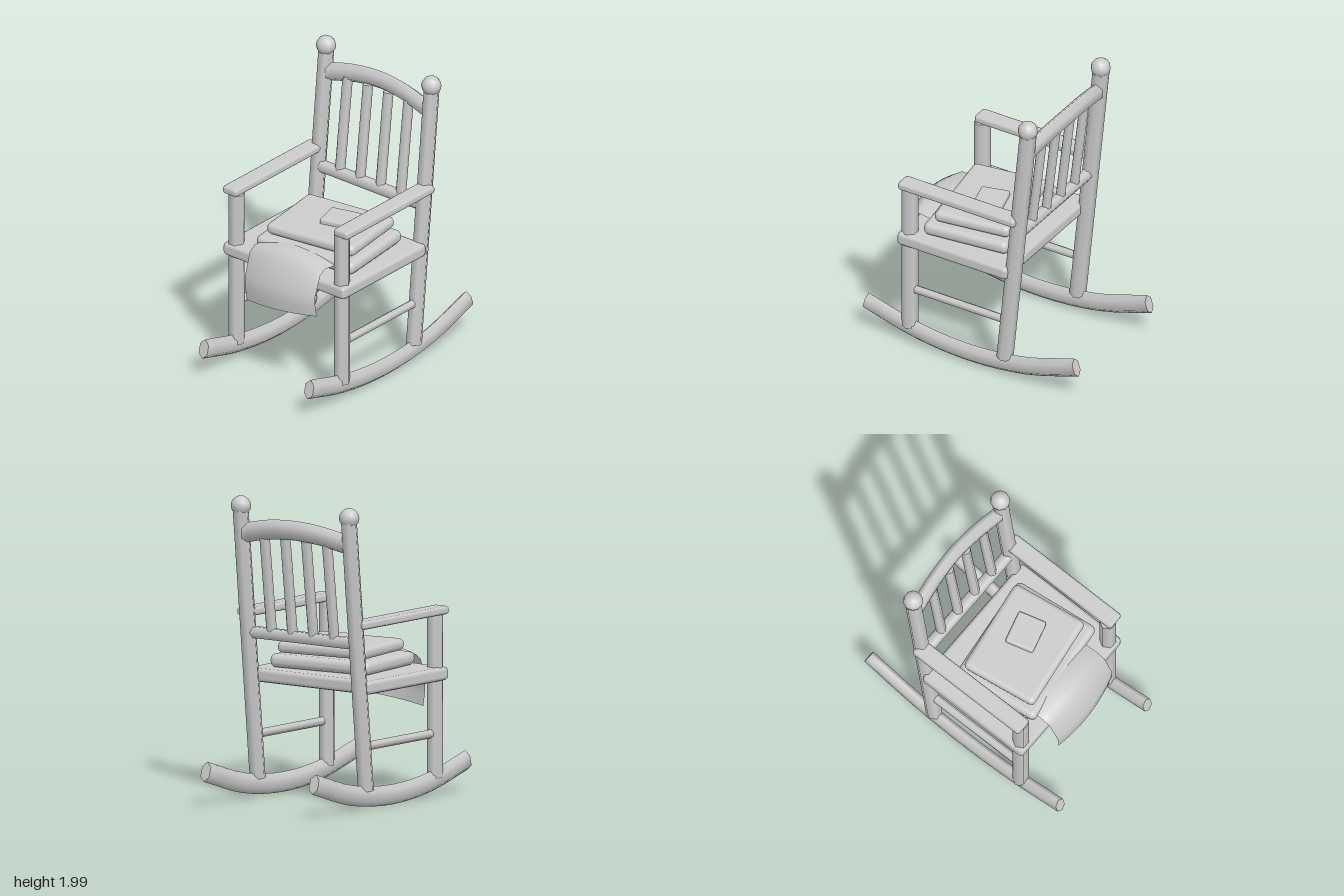
import * as THREE from 'three';
import { RoundedBoxGeometry } from 'three/addons/geometries/RoundedBoxGeometry.js';

const V = (x, y, z) => new THREE.Vector3(x, y, z);
const grey = new THREE.MeshStandardMaterial({ color: 0xcccccc });
const clothGrey = new THREE.MeshStandardMaterial({ color: 0xcccccc, side: THREE.DoubleSide });

// Smooth-shaded surface from a grid of cross-sections, all with equal point counts
function loft(rows, capped) {
  const n = rows[0].length, pos = [], idx = [];
  rows.forEach((row) => row.forEach((p) => pos.push(p.x, p.y, p.z)));
  for (let i = 0; i < rows.length - 1; i++) {
    for (let j = 0; j < (capped ? n : n - 1); j++) {
      const k = (j + 1) % n, a = i * n + j, b = i * n + k, c = a + n, d = b + n;
      idx.push(a, b, c, b, d, c);
    }
  }
  // End caps use their own corners so the rim stays sharp
  if (capped) {
    [rows[0], rows[rows.length - 1]].forEach((row, end) => {
      const base = pos.length / 3;
      row.forEach((p) => pos.push(p.x, p.y, p.z));
      for (let j = 1; j < n - 1; j++) {
        if (end) idx.push(base, base + j, base + j + 1);
        else idx.push(base, base + j + 1, base + j);
      }
    });
  }
  const geo = new THREE.BufferGeometry();
  geo.setAttribute('position', new THREE.Float32BufferAttribute(pos, 3));
  geo.setIndex(idx);
  geo.computeVertexNormals();
  return geo;
}

// Six-sided bar along a curve, sized separately across (side) and upward
function sweep(points, side, across, upward, steps = 16) {
  const curve = new THREE.CatmullRomCurve3(points);
  const rows = [];
  for (let i = 0; i <= steps; i++) {
    const p = curve.getPoint(i / steps), t = curve.getTangent(i / steps);
    const up = t.clone().cross(side).normalize();
    const s = up.clone().cross(t).normalize();
    const row = [];
    for (let j = 0; j < 6; j++) {
      const a = (j * Math.PI) / 3;
      row.push(p.clone().addScaledVector(s, Math.sin(a) * across).addScaledVector(up, Math.cos(a) * upward));
    }
    rows.push(row.reverse());
  }
  return loft(rows, true);
}

export function createModel() {
  const chair = new THREE.Group();
  chair.name = 'rockingChair';

  const add = (name, geo, mat = grey) => {
    const mesh = new THREE.Mesh(geo, mat);
    mesh.name = name;
    chair.add(mesh);
    return mesh;
  };
  // Hexagonal rod between two points
  const rod = (name, a, b, r, turn = 0) => {
    const dir = b.clone().sub(a);
    const mesh = add(name, new THREE.CylinderGeometry(r, r, dir.length(), 6).rotateY(turn));
    mesh.position.copy(a).add(b).multiplyScalar(0.5);
    mesh.quaternion.setFromUnitVectors(V(0, 1, 0), dir.normalize());
    return mesh;
  };
  const slab = (name, size, at, radius, turn = 0, segments = 2) => {
    const mesh = add(name, new RoundedBoxGeometry(...size, segments, radius));
    mesh.position.set(...at);
    mesh.rotation.y = turn;
    return mesh;
  };

  // Both sides: rocker, legs, post, knob, armrest, stretcher
  for (const [label, s] of [['left', 1], ['right', -1]]) {
    const x = 0.445 * s;
    add(`${label}Rocker`, sweep(
      [V(x, 0.205, 0.8), V(x, 0.108, 0.42), V(x, 0.073, 0.02), V(x, 0.115, -0.4), V(x, 0.235, -0.8)],
      V(1, 0, 0), 0.041, 0.066));
    rod(`${label}FrontLeg`, V(x, 0.13, 0.47), V(x, 1.21, 0.47), 0.055, Math.PI / 6);
    rod(`${label}BackPost`, V(x, 0.13, -0.255), V(x, 1.91, -0.433), 0.055, Math.PI / 6);
    add(`${label}Knob`, new THREE.SphereGeometry(0.066, 10, 8)).position.set(x, 1.934, -0.43);
    slab(`${label}Armrest`, [0.12, 0.055, 0.89], [0.47 * s, 1.228, 0.073], 0.02, 0, 1);
    rod(`${label}Stretcher`, V(x, 0.42, 0.45), V(x, 0.42, -0.27), 0.029);
  }

  // Seat
  slab('seat', [1.03, 0.09, 0.84], [0, 0.81, 0.115], 0.028, 0, 1);

  // Backrest
  add('crestRail', sweep(
    [V(-0.42, 1.757, -0.42), V(-0.21, 1.8, -0.445), V(0, 1.815, -0.457), V(0.21, 1.8, -0.445), V(0.42, 1.757, -0.42)],
    V(0, 0, 1), 0.046, 0.064));
  rod('lowerBackRail', V(-0.43, 1.1, -0.345), V(0.43, 1.1, -0.345), 0.042);
  for (const x of [-0.257, -0.086, 0.086, 0.257]) {
    rod('backSpindle', V(x, 1.1, -0.345), V(x, 1.77, -0.425), 0.034);
  }

  // Stacked cushions with a small pad on top
  slab('lowerCushion', [0.755, 0.09, 0.605], [0.04, 0.9, 0.118], 0.04, 0.115);
  slab('upperCushion', [0.665, 0.08, 0.53], [0.04, 0.992, 0.102], 0.036, 0.145);
  slab('smallPad', [0.225, 0.05, 0.195], [0.1, 1.042, 0.066], 0.016, 0.265);

  // Cloth draped over the front edge, bulging outward along its middle
  const rows = [
    // left x, right x, edge y, middle rise, edge z, middle push, tilt
    [-0.26, 0.32, 0.905, 0.045, 0.4, 0, 0],
    [-0.26, 0.32, 0.915, 0.04, 0.5, 0.02, 0.003],
    [-0.258, 0.322, 0.885, 0.03, 0.55, 0.035, 0.008],
    [-0.25, 0.325, 0.74, 0.005, 0.607, 0.04, 0.015],
    [-0.243, 0.33, 0.66, 0, 0.61, 0.037, 0.022],
    [-0.237, 0.336, 0.59, 0, 0.603, 0.037, 0.029],
  ].map(([x0, x1, y, rise, z, push, tilt]) => {
    const row = [];
    for (let j = 0; j <= 10; j++) {
      const u = j / 5 - 1, bulge = 1 - u * u;
      row.push(V(x0 + ((x1 - x0) * j) / 10, y + rise * bulge + tilt * u, z + push * bulge - 0.01 * u));
    }
    return row.reverse();
  });
  add('drapedCloth', loft(rows, false), clothGrey);

  return chair;
}
